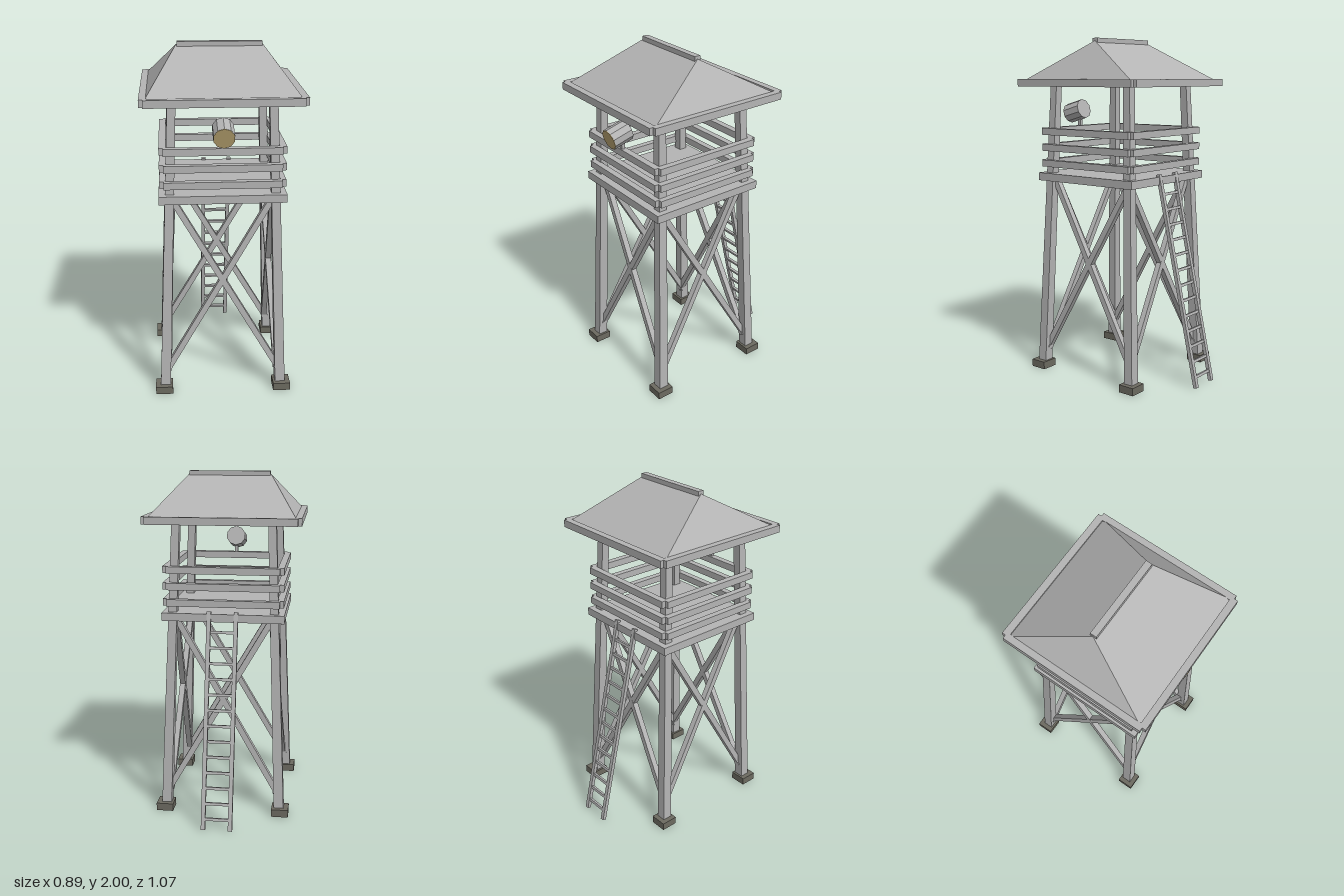
import * as THREE from 'three';

const wood = new THREE.MeshStandardMaterial({ color: 0xb4b4b4 });
wood.name = 'weathered grey';
const roofMat = new THREE.MeshStandardMaterial({ color: 0xb4b4b4, side: THREE.DoubleSide });
roofMat.name = 'roof grey';
const stone = new THREE.MeshStandardMaterial({ color: 0x6c6a60 });
stone.name = 'dark stone';
const glass = new THREE.MeshStandardMaterial({ color: 0xb8a370 });
glass.name = 'lamp amber';

const V = (x, y, z) => new THREE.Vector3(x, y, z);

function add(parent, name, geometry, material, x = 0, y = 0, z = 0) {
  const mesh = new THREE.Mesh(geometry, material);
  mesh.name = name;
  mesh.position.set(x, y, z);
  parent.add(mesh);
  return mesh;
}

function box(parent, name, w, h, d, x, y, z, material = wood) {
  return add(parent, name, new THREE.BoxGeometry(w, h, d), material, x, y, z);
}

// Straight timber from a to b, with its flat face turned towards +z
function beam(parent, name, a, b, w, d) {
  const dir = b.clone().sub(a);
  const mid = a.clone().add(b).multiplyScalar(0.5);
  const mesh = box(parent, name, w, dir.length(), d, mid.x, mid.y, mid.z);
  const yAxis = dir.normalize();
  const xAxis = yAxis.clone().cross(V(0, 0, 1)).normalize();
  const zAxis = xAxis.clone().cross(yAxis);
  mesh.quaternion.setFromRotationMatrix(new THREE.Matrix4().makeBasis(xAxis, yAxis, zAxis));
  return mesh;
}

// Corner post leaning inwards and tapering upwards
function legGeometry(height) {
  const g = new THREE.BoxGeometry(1, 1, 1);
  const p = g.attributes.position;
  for (let i = 0; i < p.count; i++) {
    const t = p.getY(i) + 0.5;
    const c = THREE.MathUtils.lerp(0.34, 0.273, t);
    const w = THREE.MathUtils.lerp(0.058, 0.046, t);
    p.setXYZ(i, c + p.getX(i) * w, t * height, c + p.getZ(i) * w);
  }
  g.computeVertexNormals();
  return g;
}

// Open hipped shell: two trapezoids and two triangles
function roofGeometry(half, ridge, y0, y1) {
  const a = [-half, y0, half], b = [half, y0, half], c = [half, y0, -half], d = [-half, y0, -half];
  const l = [-ridge, y1, 0], r = [ridge, y1, 0];
  const faces = [[a, b, r], [a, r, l], [c, d, l], [c, l, r], [b, c, r], [d, a, l]];
  const g = new THREE.BufferGeometry();
  g.setAttribute('position', new THREE.Float32BufferAttribute(faces.flat(2), 3));
  g.computeVertexNormals();
  return g;
}

export function createModel() {
  const model = new THREE.Group();
  model.name = 'watchtower';
  const tower = new THREE.Group();
  tower.name = 'tower';
  tower.position.z = 0.088;
  model.add(tower);

  // Each quarter turn carries one leg, one cross brace, railings and an eave board
  const leg = legGeometry(1.75);
  for (let i = 0; i < 4; i++) {
    const side = new THREE.Group();
    side.name = 'towerSide' + (i + 1);
    side.rotation.y = i * Math.PI / 2;
    tower.add(side);
    add(side, 'leg', leg, wood);
    box(side, 'foot', 0.1, 0.045, 0.1, 0.346, 0.0225, 0.346, stone);
    for (const s of [-1, 1]) {
      beam(side, 'crossBrace', V(0.33 * s, 0.118, 0.318), V(-0.276 * s, 1.168, 0.279), 0.034, 0.034);
    }
    for (const y of [1.271, 1.365, 1.46]) {
      box(side, 'railing', 0.65, 0.04, 0.038, 0, y, 0.329);
    }
    box(side, 'eaveBoard', 0.846, 0.042, 0.04, 0, 1.746, 0.424);
  }

  // Platform and roof
  box(tower, 'platform', 0.706, 0.046, 0.706, 0, 1.19, 0);
  add(tower, 'roof', roofGeometry(0.423, 0.24, 1.746, 1.984), roofMat);
  box(tower, 'ridgeBoard', 0.476, 0.032, 0.037, 0, 1.984, 0);

  // Ladder leaning on the back
  const ladder = new THREE.Group();
  ladder.name = 'ladder';
  model.add(ladder);
  const foot = V(0, 0.003, -0.525), top = V(0, 1.226, -0.251);
  for (const x of [-0.078, 0.078]) {
    beam(ladder, 'ladderRail', foot.clone().setX(x), top.clone().setX(x), 0.024, 0.022);
  }
  for (let i = 0; i < 13; i++) {
    const y = 0.06 + i * 0.0875;
    const p = foot.clone().lerp(top, y / 1.226);
    const rung = box(ladder, 'rung', 0.145, 0.016, 0.016, 0, p.y, p.z);
    rung.rotation.x = 0.22;
  }

  // Searchlight tipped downwards over the front railing
  const lamp = new THREE.Group();
  lamp.name = 'searchlight';
  lamp.position.set(0, 1.553, 0.503);
  lamp.rotation.x = 0.27;
  model.add(lamp);
  const bodyGeo = new THREE.CylinderGeometry(0.06, 0.06, 0.12, 10).toNonIndexed();
  bodyGeo.computeVertexNormals();
  add(lamp, 'lampBody', bodyGeo, wood, 0, 0, -0.06).rotation.x = Math.PI / 2;
  add(lamp, 'lampLens', new THREE.CylinderGeometry(0.059, 0.059, 0.004, 10), glass, 0, 0, 0.001)
    .rotation.x = Math.PI / 2;
  box(model, 'lampMount', 0.02, 0.07, 0.02, 0, 1.505, 0.42);

  return model;
}
